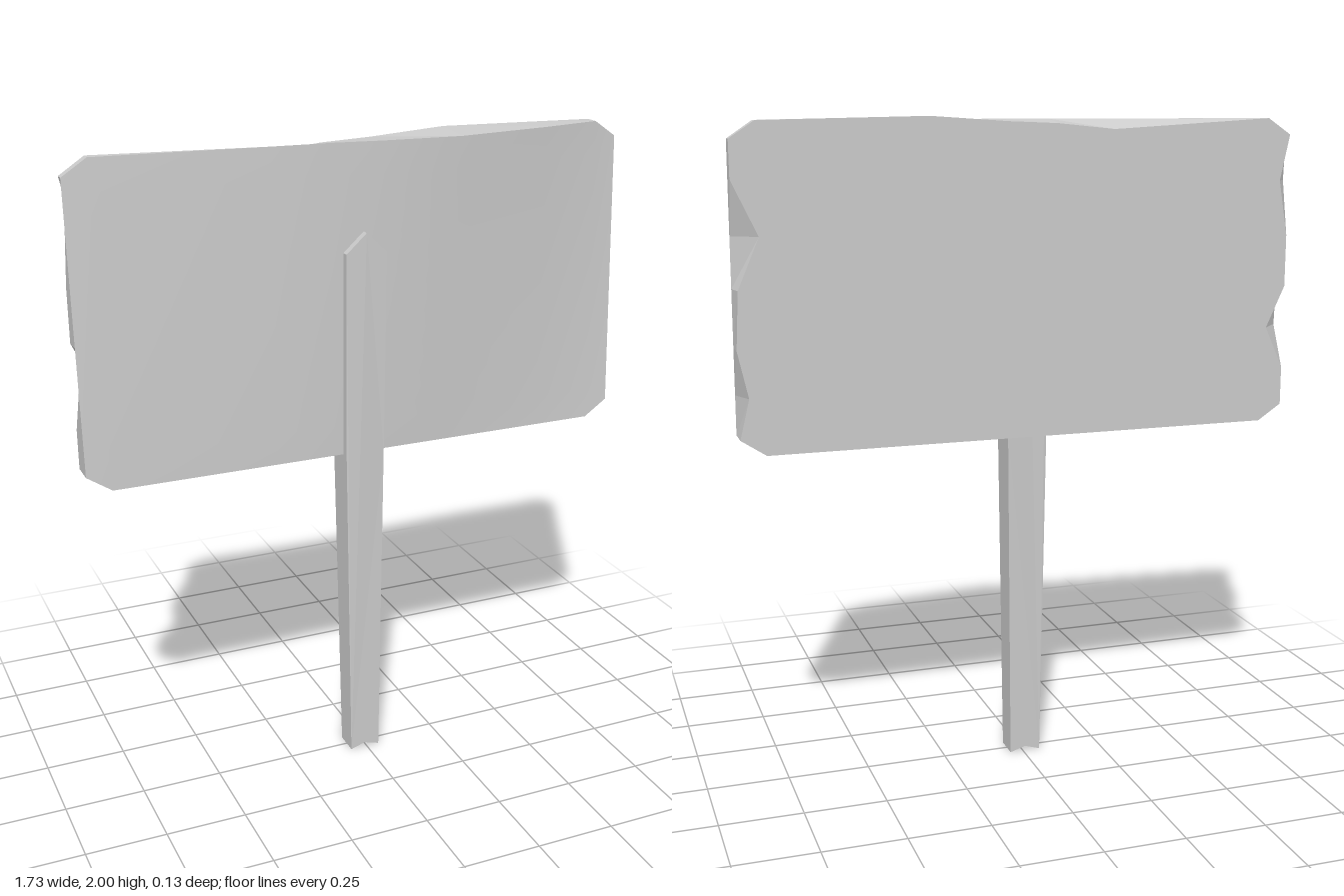
import * as THREE from 'three';

const material = () => new THREE.MeshStandardMaterial({ color: 0xcccccc });

function meshFromTriangles(name, points) {
  const geometry = new THREE.BufferGeometry().setFromPoints(points);
  geometry.computeVertexNormals();
  const mesh = new THREE.Mesh(geometry, material());
  mesh.name = name;
  return mesh;
}

// Triangles of a filled outline, facing forward or backward
function cap(loop, backward) {
  const flat = loop.map((p) => new THREE.Vector2(p.x, p.y));
  return THREE.ShapeUtils.triangulateShape(flat, [])
    .flatMap(([a, b, c]) => (backward ? [a, c, b] : [a, b, c]).map((i) => loop[i]));
}

// Wall joining a front loop to a back loop (both counter-clockwise from the front)
function wall(front, back) {
  return front.flatMap((p, i) => {
    const j = (i + 1) % front.length;
    return [p, back[i], back[j], p, back[j], front[j]];
  });
}

// Board size and the depth of its bulging top edge
const HALF = 0.865, CORNER = 0.79, LOW = 1.04, HIGH = 1.99, BACK = -0.065;
const topEdge = [[-HALF, -0.04], [-CORNER, -0.035], [-0.28, 0.008], [-0.1, 0.02], [0.05, 0.042],
  [0.29, 0.062], [0.6, 0.018], [CORNER, -0.02], [HALF, -0.03]];

function topDepth(x) {
  const i = Math.max(1, topEdge.findIndex((p) => p[0] >= x));
  const [x0, z0] = topEdge[i - 1], [x1, z1] = topEdge[i];
  return THREE.MathUtils.mapLinear(x, x0, x1, z0, z1);
}

// Warped front: straight along the bottom, bulging along the top
function frontPoint(x, y) {
  const t = (y - LOW) / (HIGH - LOW);
  return new THREE.Vector3(x, y, THREE.MathUtils.lerp(0.015, topDepth(x), t));
}

function createBoard() {
  const board = new THREE.Group();
  board.name = 'signBoard';

  // Smooth front panel
  const rows = 10, cols = topEdge.length;
  const points = [], index = [];
  topEdge.forEach(([x], c) => {
    const cut = Math.abs(x) > CORNER ? 0.05 : 0;
    for (let r = 0; r <= rows; r++) {
      points.push(frontPoint(x, THREE.MathUtils.lerp(LOW + cut, HIGH - cut, r / rows)));
      if (c < cols - 1 && r < rows) {
        const a = c * (rows + 1) + r, b = a + rows + 1;
        index.push(a, b, b + 1, a, b + 1, a + 1);
      }
    }
  });
  const face = new THREE.BufferGeometry().setFromPoints(points);
  face.setIndex(index);
  face.computeVertexNormals();
  const panel = new THREE.Mesh(face, material());
  panel.name = 'boardFront';

  // Chipped rim: [height, inset of the back edge] up each side
  const leftChips = [[1.09, 0], [1.21, 0.03], [1.35, 0], [1.52, 0.01], [1.67, 0.075], [1.83, 0], [1.94, 0]];
  const rightChips = [[1.94, 0], [1.8, 0.03], [1.63, 0], [1.47, 0], [1.34, 0.06], [1.21, 0], [1.09, 0]];
  // Top: [x, rise of the back edge]
  const topChips = [[CORNER, 0], [0.6, 0.004], [0.29, 0.01], [0.05, -0.006], [-0.1, -0.012], [-0.28, -0.03], [-CORNER, 0]];
  const rim = [
    [-CORNER, LOW, 0, 0], [CORNER, LOW, 0, 0],
    ...leftChips.map(([y, d]) => [HALF, y, -d, 0]),
    ...topChips.map(([x, d]) => [x, HIGH, 0, d]),
    ...rightChips.map(([y, d]) => [-HALF, y, d, 0]),
  ];
  const front = rim.map(([x, y]) => frontPoint(x, y));
  const back = rim.map(([x, y, dx, dy]) => new THREE.Vector3(x + dx, y + dy, BACK));
  board.add(panel,
    meshFromTriangles('boardRim', wall(front, back)),
    meshFromTriangles('boardBack', cap(back, true)));
  return board;
}

// Tapered post with a pointed top and notched foot: [x, y, front z, back z]
function createPost() {
  const outline = [
    [-0.055, 0, 0.04, -0.04], [-0.007, 0.015, 0.04, -0.04], [0.042, 0, 0.04, -0.04],
    [0.055, 1.04, 0.042, -0.06], [0.055, 1.67, 0.058, -0.06], [-0.007, 1.73, 0.052, -0.06],
    [-0.068, 1.67, 0.045, -0.06], [-0.068, 1.04, 0.04, -0.06],
  ];
  const front = outline.map(([x, y, z]) => new THREE.Vector3(x, y, z));
  const back = outline.map(([x, y, , z]) => new THREE.Vector3(x, y, z));
  return meshFromTriangles('post', [...cap(front, false), ...wall(front, back), ...cap(back, true)]);
}

export function createModel() {
  const model = new THREE.Group();
  model.name = 'woodenSign';
  model.add(createBoard(), createPost());
  return model;
}
